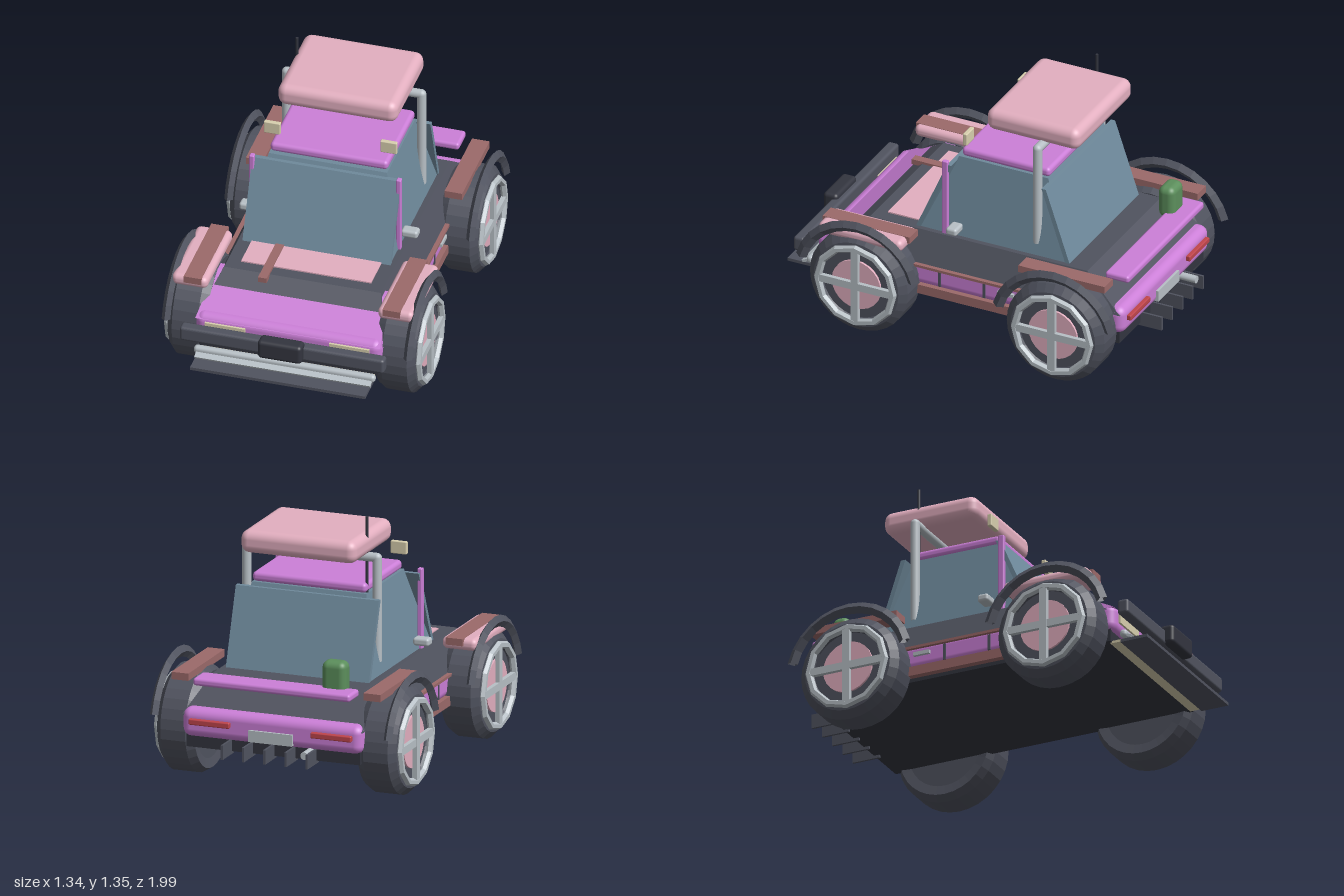
import * as THREE from 'three';
import { RoundedBoxGeometry } from 'three/addons/geometries/RoundedBoxGeometry.js';

const mat = (color, flatShading = false, side = THREE.FrontSide) =>
  new THREE.MeshStandardMaterial({ color, flatShading, side });
const PURPLE = mat(0xcc7fd8), DARK = mat(0x50535f, true), BLACK = mat(0x33353f), GLASS = mat(0x6f8a9c, true);
const PINK = mat(0xe3afc0), BROWN = mat(0x9c6a6a), GREY = mat(0xb8c0c6), BEIGE = mat(0xd8cfae);
const GREEN = mat(0x5c8f5c), RED = mat(0xc0454c), TYRE = mat(0x50535f, true, THREE.DoubleSide);

export function createModel() {
  const car = new THREE.Group();
  car.name = 'offroadCar';

  const add = (name, geo, material, parent = car) => {
    const m = new THREE.Mesh(geo, material);
    m.name = name;
    parent.add(m);
    return m;
  };
  // Box from its extents, rounded when a radius is given
  const box = (name, material, [x0, x1], [y0, y1], [z0, z1], r = 0, parent = car) => {
    const s = [x1 - x0, y1 - y0, z1 - z0];
    const m = add(name, r ? new RoundedBoxGeometry(...s, 4, r) : new THREE.BoxGeometry(...s), material, parent);
    m.position.set((x0 + x1) / 2, (y0 + y1) / 2, (z0 + z1) / 2);
    return m;
  };
  // The same box on both sides of the car
  const pair = (name, material, [x0, x1], y, z, r) => {
    box(name + 'Left', material, [x0, x1], y, z, r);
    box(name + 'Right', material, [-x1, -x0], y, z, r);
  };
  // Box whose top differs from its base: half width, back z, front z
  const frustum = (name, material, [y0, y1], base, top) => {
    const geo = new THREE.BoxGeometry(2, 2, 2);
    const p = geo.attributes.position;
    for (let i = 0; i < p.count; i++) {
      const [w, back, front] = p.getY(i) > 0 ? top : base;
      p.setXYZ(i, p.getX(i) * w, p.getY(i) > 0 ? y1 : y0, p.getZ(i) > 0 ? front : back);
    }
    geo.computeVertexNormals();
    return add(name, geo, material);
  };

  // Body
  box('floor', BLACK, [-0.47, 0.47], [0.205, 0.28], [-0.88, 0.79]);
  box('lowerBody', PURPLE, [-0.488, 0.488], [0.26, 0.41], [-0.908, 0.815], 0.045);
  frustum('upperBody', DARK, [0.375, 0.54], [0.488, -0.89, 0.78], [0.41, -0.67, 0.55]);
  frustum('hood', mat(0xcc7fd8, true), [0.385, 0.522], [0.484, 0.5, 0.812], [0.45, 0.5, 0.555]);
  box('hoodPanel', PINK, [-0.34, 0.34], [0.53, 0.547], [0.28, 0.485]);
  box('hoodStripe', BROWN, [-0.215, -0.17], [0.525, 0.553], [0.29, 0.61]);
  box('rearSpoiler', PURPLE, [-0.425, 0.425], [0.532, 0.572], [-0.908, -0.775], 0.015);

  // Side trim
  pair('sill', BROWN, [0.44, 0.505], [0.225, 0.275], [-0.36, 0.28]);
  pair('sideStrip', BROWN, [0.47, 0.505], [0.374, 0.388], [-0.36, 0.28]);
  pair('doorHandle', GREY, [0.48, 0.505], [0.333, 0.352], [-0.3, -0.21]);
  for (const z of [0.12, -0.13]) pair('sideDivider', DARK, [0.48, 0.493], [0.285, 0.37], [z - 0.007, z + 0.007]);

  // Cab: tapered core with flat front and rear panes
  frustum('cabGlass', GLASS, [0.53, 0.955], [0.385, -0.545, 0.29], [0.31, -0.4, 0.1]);
  const pane = (name, zBase, zTop, t) => {
    const s = new THREE.Shape([[zBase, 0.535], [zTop, 0.935], [zTop - t, 0.935], [zBase - t, 0.535]]
      .map(([z, y]) => new THREE.Vector2(-z, y)));
    const geo = new THREE.ExtrudeGeometry(s, { depth: 0.775, bevelEnabled: false });
    geo.rotateY(Math.PI / 2).translate(-0.3875, 0, 0);
    add(name, geo, GLASS);
  };
  pane('windshield', 0.305, 0.13, 0.025);
  pane('rearWindow', -0.535, -0.4, 0.025);
  box('roof', PURPLE, [-0.308, 0.308], [0.957, 1.007], [-0.405, 0.088], 0.02);
  pair('windshieldPost', PURPLE, [0.372, 0.397], [0.53, 0.957], [0.123, 0.155], 0.006);
  pair('mirror', GREY, [0.38, 0.467], [0.577, 0.618], [0.04, 0.1], 0.014);

  // Roll bar, roof bag, lamps and antenna
  const bar = new THREE.CurvePath();
  const pts = [[-0.353, 0.6], [-0.353, 1.14], [0.353, 1.14], [0.353, 0.6]].map(([x, y]) => new THREE.Vector3(x, y, -0.362));
  for (let i = 0; i < 3; i++) {
    bar.add(new THREE.LineCurve3(pts[i], pts[i + 1]));
    const d = pts[i + 1].clone().sub(pts[i]);
    const m = add('rollBar', new THREE.CylinderGeometry(0.024, 0.024, d.length(), 16), GREY);
    m.position.copy(pts[i]).addScaledVector(d, 0.5);
    if (i === 1) m.rotation.z = Math.PI / 2;
  }
  for (const i of [1, 2]) add('rollBarJoint', new THREE.SphereGeometry(0.024, 16, 10), GREY).position.copy(pts[i]);
  box('roofBag', PINK, [-0.313, 0.313], [1.145, 1.263], [-0.567, -0.045], 0.045);
  pair('roofLamp', BEIGE, [0.262, 0.348], [1.047, 1.113], [0.038, 0.062], 0.005);
  add('antenna', new THREE.CylinderGeometry(0.008, 0.008, 0.4, 8), BLACK).position.set(-0.3, 1.15, -0.367);

  // Front end
  box('frontBumper', DARK, [-0.535, 0.535], [0.31, 0.39], [0.86, 0.92], 0.015);
  box('winch', BLACK, [-0.115, 0.115], [0.312, 0.415], [0.885, 0.965], 0.02);
  box('grille', BLACK, [-0.142, 0.142], [0.27, 0.345], [0.81, 0.838], 0.008);
  box('frontPlate', BEIGE, [-0.112, 0.112], [0.257, 0.277], [0.8, 0.83]);
  pair('headlight', BEIGE, [0.22, 0.43], [0.315, 0.375], [0.79, 0.826]);
  box('frontSkidBar', GREY, [-0.475, 0.475], [0.214, 0.256], [0.84, 0.88], 0.018);
  const skid = box('skidPlate', GREY, [-0.46, 0.46], [0.218, 0.232], [0.84, 0.91]);
  skid.rotation.x = 0.4;
  box('splitter', DARK, [-0.458, 0.458], [0.192, 0.208], [0.84, 0.99]);
  box('splitterEdge', BEIGE, [-0.45, 0.45], [0.199, 0.212], [0.78, 0.85]);

  // Rear end
  pair('tailLight', RED, [0.22, 0.44], [0.332, 0.362], [-0.93, -0.89], 0.006);
  box('rearPlate', GREY, [-0.118, 0.118], [0.275, 0.335], [-0.922, -0.9]);
  for (const x of [-0.23, -0.115, 0, 0.115, 0.23]) box('diffuserFin', DARK, [x - 0.006, x + 0.006], [0.19, 0.265], [-1, -0.85]);
  const pipe = add('exhaust', new THREE.CylinderGeometry(0.02, 0.02, 0.12, 14), GREY);
  pipe.rotation.x = Math.PI / 2;
  pipe.position.set(-0.205, 0.25, -0.915);
  box('fuelCan', GREEN, [-0.365, -0.235], [0.535, 0.71], [-0.827, -0.735], 0.035);

  // Fenders
  pair('frontFender', PINK, [0.445, 0.633], [0.508, 0.572], [0.265, 0.735], 0.028);
  pair('frontFenderRail', BROWN, [0.474, 0.566], [0.537, 0.574], [0.25, 0.738]);
  pair('rearFenderRail', BROWN, [0.474, 0.566], [0.535, 0.573], [-0.845, -0.36]);

  // Wheels: axis along x, built for the left side and turned round for the right
  const tyreProfile = [[0.02, 0.45], [0.2, 0.45], [0.25, 0.442], [0.275, 0.482], [0.275, 0.615], [0.238, 0.648],
    [0.2, 0.652], [0.19, 0.635], [0.02, 0.635]].map(([r, x]) => new THREE.Vector2(r, x));
  for (const side of [1, -1]) for (const z of [0.51, -0.595]) {
    const wheel = new THREE.Group();
    wheel.name = (z > 0 ? 'front' : 'rear') + 'Wheel' + (side > 0 ? 'Left' : 'Right');
    wheel.position.set(0, 0.275, z);
    wheel.rotation.y = side > 0 ? 0 : Math.PI;
    car.add(wheel);
    add('tyre', new THREE.LatheGeometry(tyreProfile, 32).rotateZ(-Math.PI / 2), TYRE, wheel);
    add('hubDisc', new THREE.CylinderGeometry(0.137, 0.137, 0.02, 24).rotateZ(Math.PI / 2).translate(0.637, 0, 0), PINK, wheel);
    add('rimRing', new THREE.TorusGeometry(0.212, 0.02, 6, 12).rotateY(Math.PI / 2).translate(0.654, 0, 0), mat(0xb8c0c6, true), wheel);
    box('spokeUpright', GREY, [0.645, 0.67], [-0.21, 0.21], [-0.02, 0.02], 0, wheel);
    box('spokeLevel', GREY, [0.645, 0.669], [-0.02, 0.02], [-0.21, 0.21], 0, wheel);

    // Thin flared arch over the wheel
    const a = 0.26;
    const arch = add('wheelArch', new THREE.TorusGeometry(0.325, 0.03, 4, 12, Math.PI - 2 * a)
      .rotateZ(a).rotateY(Math.PI / 2).scale(0.75, 1, 1), TYRE, wheel);
    arch.position.set(0.633, 0, 0);
  }
  return car;
}
